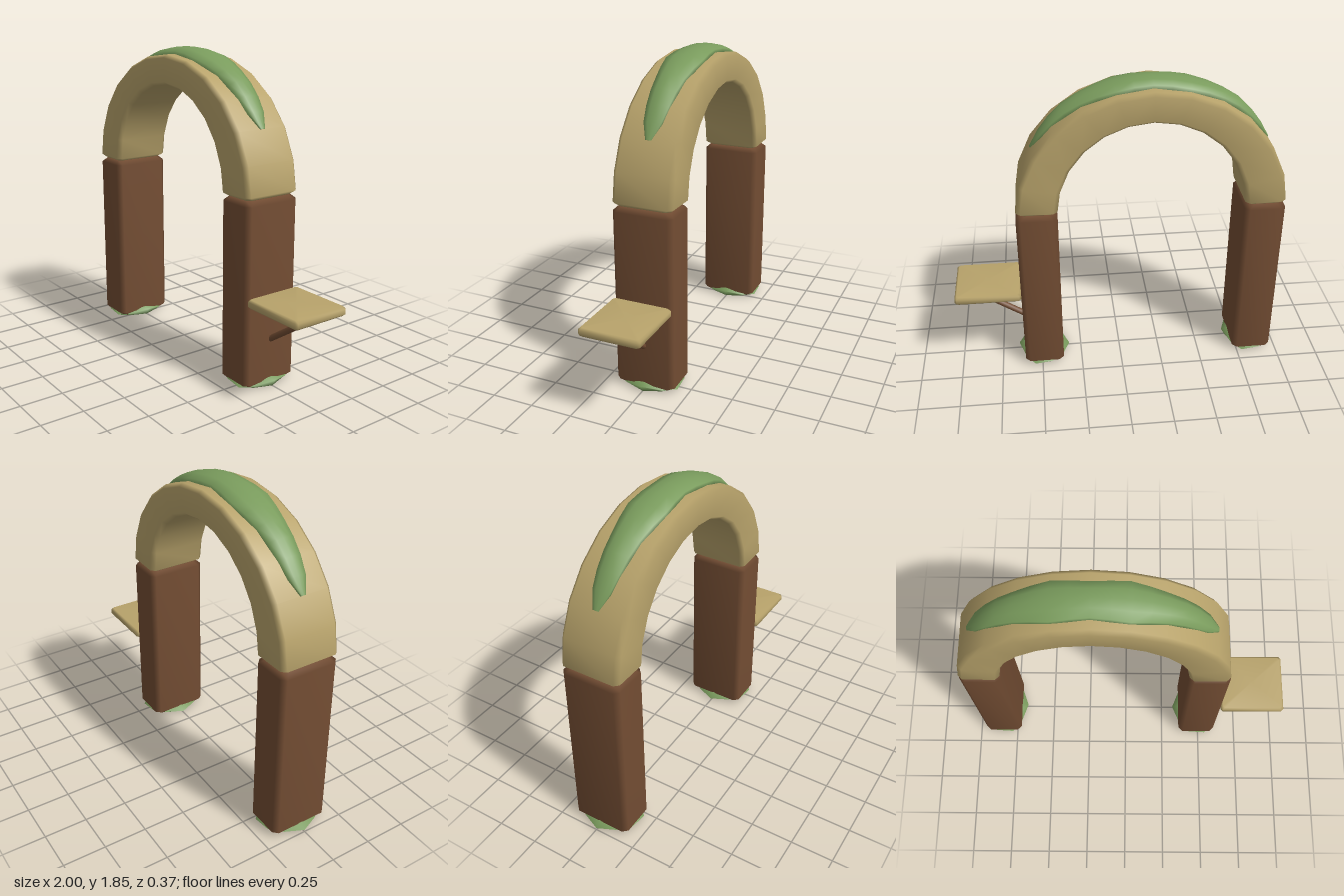
import * as THREE from 'three';

const wood = new THREE.MeshStandardMaterial({ color: 0x734d33 });
wood.name = 'brownWood';
const stone = new THREE.MeshStandardMaterial({ color: 0xb8a36b });
stone.name = 'tan';
const green = new THREE.MeshStandardMaterial({ color: 0x7a9c5d });
green.name = 'mossGreen';

// Skins a list of closed rings (counter-clockwise seen from the last ring) and caps both ends
function loft(name, rings, material) {
  const n = rings[0].length;
  const points = rings.flat();
  const index = [];
  for (let i = 0; i < rings.length - 1; i++) {
    for (let j = 0; j < n; j++) {
      const a = i * n + j, b = i * n + (j + 1) % n;
      index.push(a, b, a + n, b, b + n, a + n);
    }
  }
  [0, rings.length - 1].forEach((r, end) => {
    const c = points.length;
    const mid = new THREE.Vector3();
    rings[r].forEach((p) => mid.addScaledVector(p, 1 / n));
    points.push(mid);
    for (let j = 0; j < n; j++) {
      const a = r * n + j, b = r * n + (j + 1) % n;
      index.push(c, end ? a : b, end ? b : a);
    }
  });
  const geometry = new THREE.BufferGeometry().setFromPoints(points);
  geometry.setIndex(index);
  geometry.computeVertexNormals();
  const mesh = new THREE.Mesh(geometry, material);
  mesh.name = name;
  return mesh;
}

// Rectangle with cut corners, as [across, depth] pairs
function section(w, d, c) {
  const x = w / 2, z = d / 2;
  return [
    [x, z - c], [x, c - z], [x - c, -z], [c - x, -z],
    [-x, c - z], [-x, z - c], [c - x, z], [x - c, z],
  ];
}

// Softly bevelled block standing on its base
function block(name, w, h, d, c, material) {
  const rings = [[0, c], [c, 0], [h - c, 0], [h, c]].map(([y, inset]) =>
    section(w - 2 * inset, d - 2 * inset, c).map(([x, z]) => new THREE.Vector3(x, y, z)));
  return loft(name, rings, material);
}

const CX = -0.1775, BASE = 1.09;

// Point on the arch: s = 0 on the inner curve, 1 on the outer, lift pushes outward
function archPoint(t, s, z, lift = 0) {
  const rx = 0.542 + 0.238 * s + lift, ry = 0.545 + 0.175 * s + lift;
  return new THREE.Vector3(CX + rx * Math.cos(t), BASE + ry * Math.sin(t), z);
}

function arch() {
  const inset = 0.025;
  const stations = [[0, inset], [0.03, 0]];
  for (let i = 1; i < 12; i++) stations.push([(i * Math.PI) / 12, 0]);
  stations.push([Math.PI - 0.03, 0], [Math.PI, inset]);
  return loft('arch', stations.map(([t, k]) =>
    section(0.24 - 2 * k, 0.36 - 2 * k, 0.025).map(([u, z]) => archPoint(t, u / 0.24 + 0.5, z))), stone);
}

// Moss strip draped over the crown, tapering to both tips
function crownMoss() {
  const half = [0.018, 0.055, 0.07, 0.08, 0.09, 0.105, 0.12, 0.113, 0.106];
  const rings = [];
  for (let i = 0; i <= 16; i++) {
    const k = Math.min(i, 16 - i), w = half[k];
    const h = 0.006 + 0.034 * Math.min(1, k / 3);
    const t = THREE.MathUtils.degToRad(30 + 7.5 * i);
    const profile = [
      [h, 0], [0.85 * h, -0.5], [0.4 * h, -0.94], [-0.02, -1],
      [-0.02, 1], [0.4 * h, 0.94], [0.85 * h, 0.5],
    ];
    rings.push(profile.map(([lift, v]) => archPoint(t, 1, v * w, lift)));
  }
  return loft('crownMoss', rings, green);
}

// Ragged moss patch at the foot of a post
function footMoss() {
  const rim = [
    [0.16, 0.04, 0], [0.115, 0.02, -0.12], [0.06, 0.012, -0.183], [-0.05, 0.025, -0.18],
    [-0.115, 0.018, -0.11], [-0.16, 0.012, 0], [-0.115, 0.018, 0.11],
    [-0.05, 0.025, 0.18], [0.06, 0.012, 0.183], [0.115, 0.02, 0.12],
  ];
  const ring = (k, y) => rim.map((p) => new THREE.Vector3(p[0] * k, y ?? p[1], p[2] * k));
  return loft('footMoss', [ring(0.86, 0), ring(1), ring(0.6, 0.055)], green);
}

export function createModel() {
  const model = new THREE.Group();
  model.name = 'archway';

  // Posts with moss at their feet
  for (const [side, x] of [['right', -0.84], ['left', 0.485]]) {
    const post = block(side + 'Post', 0.24, 1.084, 0.36, 0.028, wood);
    post.position.set(x, 0.006, 0);
    const moss = footMoss();
    moss.name = side + 'FootMoss';
    moss.position.x = x;
    model.add(post, moss);
  }

  model.add(arch(), crownMoss());

  // Side shelf and its slanted brace
  const shelf = block('shelf', 0.395, 0.052, 0.36, 0.012, stone);
  shelf.position.set(0.8025, 0.504, 0);
  const from = new THREE.Vector3(0.59, 0.274, 0), to = new THREE.Vector3(0.935, 0.508, 0);
  const brace = new THREE.Mesh(new THREE.CylinderGeometry(0.018, 0.018, from.distanceTo(to), 8), wood);
  brace.name = 'shelfBrace';
  brace.position.lerpVectors(from, to, 0.5);
  brace.quaternion.setFromUnitVectors(new THREE.Vector3(0, 1, 0), to.clone().sub(from).normalize());
  model.add(shelf, brace);

  return model;
}
